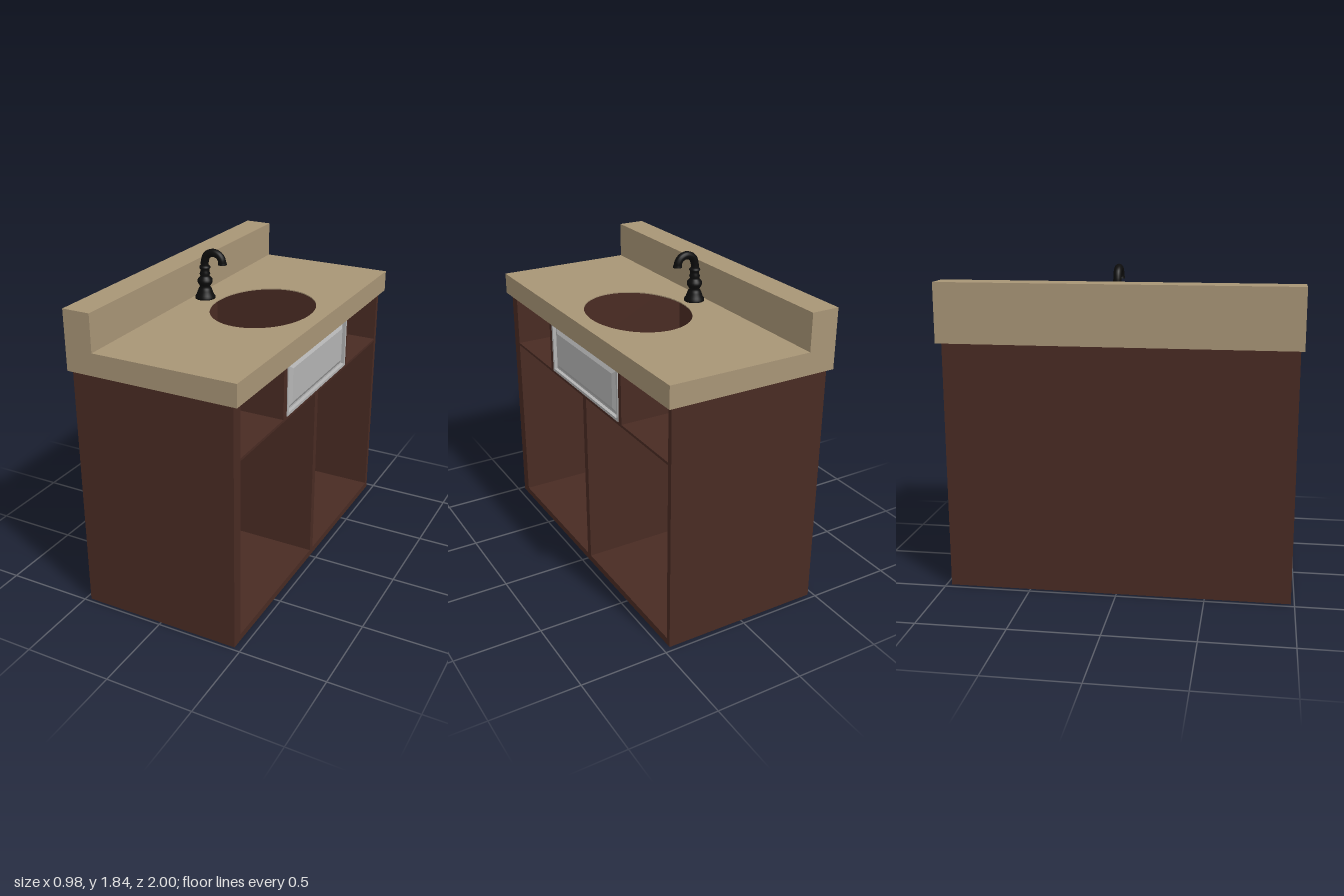
import * as THREE from 'three';

const material = (name, color) => {
  const m = new THREE.MeshStandardMaterial({ color });
  m.name = name;
  return m;
};

export function createModel() {
  const stone = material('tan stone', 0xa89576);
  const wood = material('dark brown wood', 0x492b23);
  const grey = material('grey panel', 0xb4b4b4);
  const black = material('black metal', 0x0c0c0c);

  const model = new THREE.Group();
  model.name = 'sinkCabinet';
  const group = (name) => {
    const g = new THREE.Group();
    g.name = name;
    model.add(g);
    return g;
  };
  const add = (parent, name, geometry, mat) => {
    const mesh = new THREE.Mesh(geometry, mat);
    mesh.name = name;
    parent.add(mesh);
    return mesh;
  };
  // Box given by its limits along each axis
  const box = (parent, name, mat, [x0, x1], [y0, y1], [z0, z1]) => {
    const mesh = add(parent, name, new THREE.BoxGeometry(x1 - x0, y1 - y0, z1 - z0), mat);
    mesh.position.set((x0 + x1) / 2, (y0 + y1) / 2, (z0 + z1) / 2);
    return mesh;
  };

  const back = -0.47, inner = -0.41, front = 0.46;
  const right = -0.97, left = 0.98;
  const under = 1.42, plateBottom = 1.539, top = 1.545;

  // Open-fronted cabinet
  const cabinet = group('cabinet');
  const depth = [inner, front];
  box(cabinet, 'backPanel', wood, [back, inner], [0, plateBottom], [right, left]);
  box(cabinet, 'leftSide', wood, depth, [0, plateBottom], [0.91, left]);
  box(cabinet, 'rightSide', wood, depth, [0, plateBottom], [right, -0.94]);
  box(cabinet, 'floor', wood, depth, [0, 0.04], [-0.94, 0.91]);
  box(cabinet, 'shelf', wood, depth, [1.09, 1.105], [-0.94, 0.91]);
  box(cabinet, 'centreDivider', wood, depth, [0.04, 1.09], [-0.04, 0]);
  box(cabinet, 'leftDivider', wood, depth, [1.105, plateBottom], [0.38, 0.42]);
  box(cabinet, 'rightDivider', wood, depth, [1.105, plateBottom], [-0.46, -0.43]);
  box(cabinet, 'leftCeiling', wood, depth, [under, 1.44], [0.42, 0.91]);
  box(cabinet, 'rightCeiling', wood, depth, [under, 1.44], [-0.94, -0.46]);
  box(cabinet, 'frontHeader', wood, [0.43, front], [under, plateBottom], [-0.43, 0.38]);

  // Grey drawer front with a rim and a raised, bevelled field
  const drawer = group('drawerFront');
  const y0 = 1.11, y1 = under, z0 = -0.43, z1 = 0.38, rim = 0.016;
  box(drawer, 'drawerBoard', grey, [0.43, 0.445], [y0, y1], [z0, z1]);
  for (const [name, y] of [['bottomRail', y0], ['topRail', y1 - rim]]) {
    box(drawer, name, grey, [0.445, 0.465], [y, y + rim], [z0, z1]);
  }
  for (const [name, z] of [['rightRail', z0], ['leftRail', z1 - rim]]) {
    box(drawer, name, grey, [0.445, 0.465], [y0 + rim, y1 - rim], [z, z + rim]);
  }
  const field = box(drawer, 'raisedField', grey, [0.445, 0.463], [y0 + 0.026, y1 - 0.026], [z0 + 0.026, z1 - 0.026]);
  const p = field.geometry.attributes.position;
  for (let i = 0; i < p.count; i++) {
    if (p.getX(i) > 0) {
      p.setY(i, p.getY(i) - Math.sign(p.getY(i)) * 0.03);
      p.setZ(i, p.getZ(i) - Math.sign(p.getZ(i)) * 0.04);
    }
  }
  field.geometry.computeVertexNormals();

  // Hollow countertop: thin plate with an oval opening, edge strips and a backsplash
  const counter = group('countertop');
  const outline = new THREE.Shape([
    new THREE.Vector2(-0.49, -1), new THREE.Vector2(0.49, -1),
    new THREE.Vector2(0.49, 1), new THREE.Vector2(-0.49, 1),
  ]);
  const opening = new THREE.Path();
  opening.absellipse(0.115, 0.025, 0.285, 0.355, 0, Math.PI * 2, true);
  outline.holes.push(opening);
  const plateGeometry = new THREE.ExtrudeGeometry(outline, {
    depth: top - plateBottom, bevelEnabled: false, curveSegments: 64,
  });
  plateGeometry.rotateX(-Math.PI / 2);
  add(counter, 'counterPlate', plateGeometry, stone).position.y = plateBottom;
  const edge = [under, plateBottom];
  box(counter, 'frontEdge', stone, [front, 0.49], edge, [-1, 1]);
  box(counter, 'backEdge', stone, [-0.49, back], edge, [-1, 1]);
  box(counter, 'leftEdge', stone, [back, front], edge, [left, 1]);
  box(counter, 'rightEdge', stone, [back, front], edge, [-1, right]);
  box(counter, 'backsplash', stone, [-0.49, -0.33], [top, 1.755], [-1, 1]);

  // Turned faucet body with a hooked spout
  const faucet = group('faucet');
  faucet.position.set(-0.26, top, -0.022);
  const profile = [
    [0, 0], [0.058, 0], [0.058, 0.012], [0.05, 0.022], [0.042, 0.045], [0.036, 0.06],
    [0.028, 0.07], [0.036, 0.082], [0.044, 0.098], [0.042, 0.114], [0.03, 0.127],
    [0.026, 0.135], [0.031, 0.145], [0.026, 0.158], [0.025, 0.172], [0.032, 0.18],
    [0.031, 0.188], [0.022, 0.196], [0, 0.198],
  ].map(([r, y]) => new THREE.Vector2(r, y));
  add(faucet, 'faucetBody', new THREE.LatheGeometry(profile, 32), black);
  const path = new THREE.CatmullRomCurve3([
    [0, 0.18], [0.001, 0.22], [0.016, 0.256], [0.055, 0.274],
    [0.092, 0.263], [0.11, 0.24], [0.114, 0.218],
  ].map(([x, y]) => new THREE.Vector3(x, y, 0)));
  add(faucet, 'spout', new THREE.TubeGeometry(path, 40, 0.023, 16), black);
  const tip = add(faucet, 'spoutTip', new THREE.CylinderGeometry(0.024, 0.026, 0.012, 20), black);
  tip.position.set(0.115, 0.218, 0);

  // Drain under the opening
  const drain = add(model, 'drain', new THREE.CylinderGeometry(0.04, 0.04, 0.01, 32), black);
  drain.position.set(0.115, 1.11, -0.025);

  return model;
}
